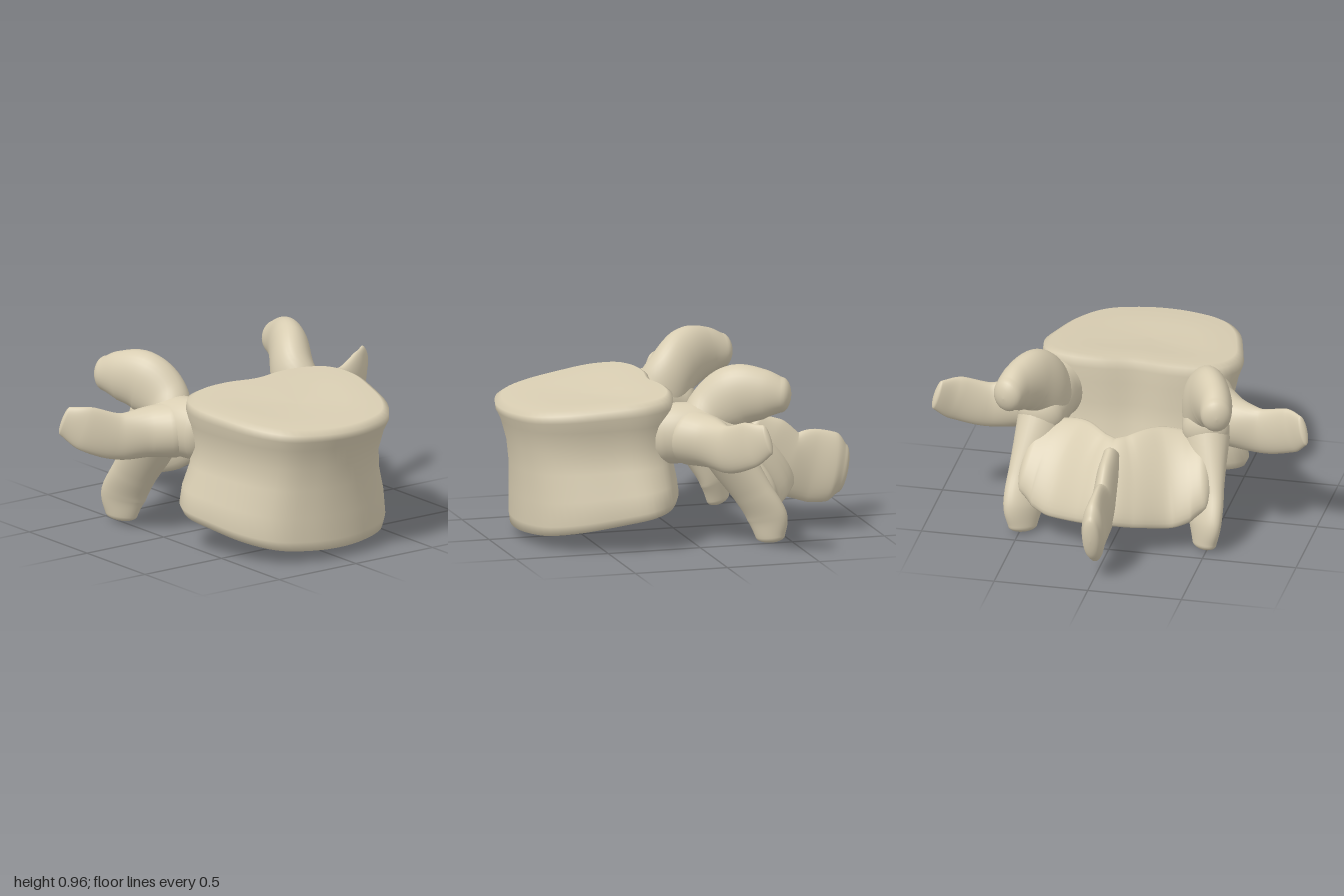
import * as THREE from 'three';

const bone = new THREE.MeshStandardMaterial({ color: 0xd8cdb2 });
bone.name = 'bone';

// Joins closed rings of points into one smooth skin
function skin(rings) {
  const n = rings[0].length, index = [];
  for (let i = 0; i < rings.length - 1; i++) {
    for (let j = 0; j < n; j++) {
      const a = i * n + j, b = i * n + (j + 1) % n;
      index.push(a, b, a + n, b, b + n, a + n);
    }
  }
  const geo = new THREE.BufferGeometry().setFromPoints(rings.flat());
  geo.setIndex(index);
  geo.computeVertexNormals();
  return geo;
}

// Elliptical limb through sections [x, y, z, radius along up, radius across], with rounded ends
function limb(sections, upAxis, steps = 32, sides = 32) {
  const up = new THREE.Vector3(...upAxis);
  const path = new THREE.CatmullRomCurve3(sections.map(s => new THREE.Vector3(s[0], s[1], s[2])));
  const size = new THREE.CatmullRomCurve3(sections.map(s => new THREE.Vector3(s[3], s[4], 0)));
  const rings = [];
  const addRing = (t, scale, push) => {
    const n = path.getTangent(t), r = size.getPoint(t);
    const c = path.getPoint(t).addScaledVector(n, push * 0.7 * Math.min(r.x, r.y));
    const u = up.clone().addScaledVector(n, -up.dot(n)).normalize();
    const v = n.clone().cross(u);
    rings.push(Array.from({ length: sides }, (_, j) => {
      const a = j / sides * Math.PI * 2;
      return c.clone().addScaledVector(u, Math.cos(a) * r.x * scale)
        .addScaledVector(v, Math.sin(a) * r.y * scale);
    }));
  };
  const capSteps = 6;
  for (let k = 0; k < capSteps; k++) {
    const a = (1 - k / capSteps) * Math.PI / 2;
    addRing(0, Math.cos(a), -Math.sin(a));
  }
  for (let i = 0; i <= steps; i++) addRing(i / steps, 1, 0);
  for (let k = 1; k <= capSteps; k++) {
    const a = k / capSteps * Math.PI / 2;
    addRing(1, Math.cos(a), Math.sin(a));
  }
  return skin(rings);
}

// Waisted drum with tilted, slightly dished end plates
function bodyGeometry() {
  // half outline: x, and depth from back (0) to front (1)
  const half = [[0, 1], [0.3, 0.975], [0.62, 0.885], [0.82, 0.71], [0.94, 0.47],
    [1, 0.25], [0.92, 0.1], [0.7, 0.02], [0.35, 0], [0, 0.03]];
  const loop = half.concat(half.slice(1, -1).reverse().map(([x, z]) => [-x, z]));
  const outline = new THREE.CatmullRomCurve3(
    loop.map(([x, z]) => new THREE.Vector3(x, 0, z)), true).getPoints(72).slice(0, -1);
  // half width, back z, front z, back y, front y, rounding of the back corners
  const levels = [
    [0, 0.45, 0.45, 0.185, 0.185, 0],
    [0.4, 0.15, 0.7, 0.225, 0.12, 0.13],
    [0.51, 0.06, 0.83, 0.23, 0.07, 0.13],
    [0.55, 0.035, 0.86, 0.24, 0.07, 0.13],
    [0.57, 0.03, 0.865, 0.28, 0.12, 0.12],
    [0.55, 0.05, 0.865, 0.36, 0.25, 0.08],
    [0.5, 0.08, 0.87, 0.46, 0.4, 0.03],
    [0.48, 0.09, 0.885, 0.56, 0.52, 0],
    [0.505, 0.09, 0.915, 0.68, 0.63, 0],
    [0.53, 0.09, 0.94, 0.76, 0.68, 0],
    [0.525, 0.095, 0.945, 0.81, 0.715, 0],
    [0.49, 0.12, 0.91, 0.825, 0.74, 0],
    [0.3, 0.3, 0.7, 0.79, 0.75, 0],
    [0, 0.5, 0.5, 0.765, 0.765, 0],
  ];
  return skin(levels.map(([w, zb, zf, yb, yf, round]) => outline.map(p => {
    const d = p.z + round * p.x ** 2 * (1 - p.z) ** 4;
    return new THREE.Vector3(p.x * w, yb + (yf - yb) * d, zb + (zf - zb) * d);
  })));
}

export function createModel() {
  const model = new THREE.Group();
  model.name = 'vertebra';
  const add = (name, geo) => {
    const mesh = new THREE.Mesh(geo, bone);
    mesh.name = name;
    model.add(mesh);
  };
  const mirror = ([x, ...rest]) => [-x, ...rest];
  const Y = [0, 1, 0];

  add('body', bodyGeometry());

  // Sloping plate closing the canal behind
  const lamina = [[0.45, 0.39, -0.28, 0.2, 0.08], [0.37, 0.38, -0.29, 0.25, 0.08],
    [0.26, 0.38, -0.335, 0.27, 0.065], [0.11, 0.39, -0.445, 0.245, 0.06],
    [0, 0.4, -0.49, 0.235, 0.07]];
  add('lamina', limb(lamina.concat(lamina.slice(0, -1).reverse().map(mirror)), [0, 0.76, 0.65], 48));

  // Blade pointing backwards
  add('spinousProcess', limb([[0, 0.48, -0.4, 0.14, 0.05], [0, 0.4, -0.5, 0.18, 0.06],
    [0, 0.32, -0.62, 0.17, 0.06], [0, 0.3, -0.75, 0.195, 0.048],
    [0, 0.285, -0.86, 0.185, 0.06], [0, 0.275, -0.915, 0.13, 0.048]], Y));

  // Paired parts, given for the left side
  const pairs = {
    Pedicle: [Y, [[0.39, 0.61, 0.16, 0.16, 0.13], [0.415, 0.615, 0.08, 0.16, 0.135],
      [0.43, 0.615, -0.03, 0.155, 0.14], [0.44, 0.59, -0.15, 0.13, 0.125]]],
    TransverseProcess: [Y, [[0.46, 0.6, 0.03, 0.15, 0.15], [0.57, 0.59, -0.035, 0.135, 0.11],
      [0.73, 0.58, -0.085, 0.125, 0.052], [0.89, 0.635, -0.155, 0.12, 0.037],
      [0.975, 0.675, -0.225, 0.08, 0.025]]],
    SuperiorProcess: [Y, [[0.42, 0.6, -0.03, 0.14, 0.12], [0.42, 0.72, -0.1, 0.15, 0.115],
      [0.47, 0.805, -0.2, 0.165, 0.105], [0.53, 0.82, -0.33, 0.135, 0.09],
      [0.555, 0.815, -0.42, 0.095, 0.08]]],
    InferiorProcess: [[0.7, 0, -0.7], [[0.435, 0.6, -0.1, 0.13, 0.13], [0.45, 0.45, -0.19, 0.13, 0.1],
      [0.475, 0.29, -0.29, 0.12, 0.07], [0.485, 0.16, -0.365, 0.12, 0.062],
      [0.485, 0.05, -0.385, 0.085, 0.05]]],
  };
  for (const [name, [up, sections]] of Object.entries(pairs)) {
    add('left' + name, limb(sections, up));
    add('right' + name, limb(sections.map(mirror), mirror(up)));
  }
  return model;
}
